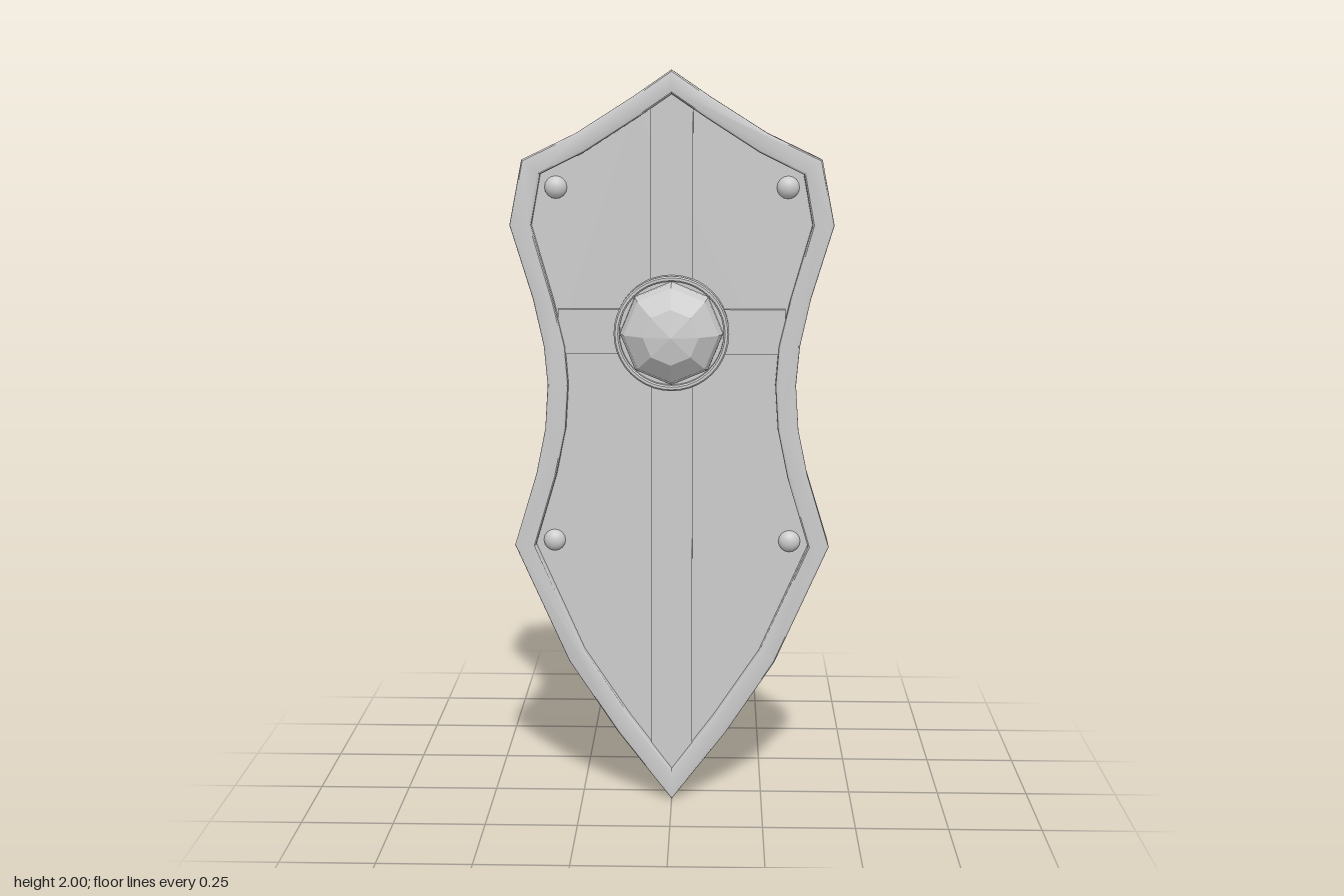
import * as THREE from 'three';
import { toCreasedNormals } from 'three/addons/utils/BufferGeometryUtils.js';

const V = (x, y) => new THREE.Vector2(x, y);

// Right half of the outer and inner edges, top to bottom
const OUTER = [[0, 2], [0.1, 1.932], [0.25, 1.838], [0.393, 1.77], [0.427, 1.6], [0.368, 1.405],
  [0.341, 1.28], [0.332, 1.175], [0.34, 1.055], [0.366, 0.93], [0.427, 0.732], [0.283, 0.403],
  [0.15, 0.198], [0, 0]];
const INNER = [[0, 1.938], [0.09, 1.877], [0.23, 1.788], [0.345, 1.732], [0.37, 1.6], [0.312, 1.395],
  [0.285, 1.28], [0.277, 1.175], [0.285, 1.055], [0.312, 0.925], [0.37, 0.732], [0.24, 0.433],
  [0.115, 0.243], [0, 0.088]];
const MIDDLE = OUTER.map(([x, y], i) => [(x + INNER[i][0]) / 2, (y + INNER[i][1]) / 2]);

// Mirror a half outline into a closed anticlockwise loop
function mirrored(half) {
  const left = half.filter(p => p[0] > 0).reverse().map(([x, y]) => V(-x, y));
  return [...half.map(([x, y]) => V(x, y)), ...left].reverse();
}

// Extrude a shape between two depths, with an optional bevel kept inside the outline
function slab(shape, z0, z1, bevel = 0) {
  const g = new THREE.ExtrudeGeometry(shape, {
    depth: z1 - z0 - 2 * bevel, bevelEnabled: bevel > 0, bevelSize: bevel,
    bevelThickness: bevel, bevelOffset: -bevel, bevelSegments: 3,
  });
  g.translate(0, 0, z0 + bevel);
  return toCreasedNormals(g, 0.42);
}

export function createModel() {
  const model = new THREE.Group();
  const smooth = new THREE.MeshStandardMaterial({ color: 0xcccccc });
  const faceted = new THREE.MeshStandardMaterial({ color: 0xcccccc, flatShading: true });
  const add = (name, geometry, material = smooth, parent = model) => {
    const mesh = new THREE.Mesh(geometry, material);
    mesh.name = name;
    parent.add(mesh);
    return mesh;
  };

  // Thick rim around a recessed panel
  const rim = new THREE.Shape(mirrored(OUTER));
  rim.holes.push(new THREE.Path(mirrored(INNER)));
  add('rim', slab(rim, -0.063, 0.068, 0.008));
  add('panel', slab(new THREE.Shape(mirrored(MIDDLE)), -0.043, 0.044));

  // Raised bands crossing behind the boss
  const upright = [[0, 1.965], [0.056, 1.93], [0.056, 0.13], [0, 0.05]];
  add('verticalBand', slab(new THREE.Shape(mirrored(upright)), 0.02, 0.053));
  const cross = [[0.302, 1.378], [0.302, 1.258]];
  add('crossBand', slab(new THREE.Shape(mirrored(cross)), 0.02, 0.06));

  // Central boss: round collar and faceted dome
  const boss = new THREE.Group();
  boss.name = 'boss';
  boss.position.set(0, 1.316, 0);
  boss.rotation.x = Math.PI / 2;
  model.add(boss);
  const collar = [[0.153, 0.03], [0.153, 0.084], [0.149, 0.088], [0.142, 0.088], [0.138, 0.084],
    [0.138, 0.068], [0, 0.068]].map(([r, z]) => V(r, z));
  add('bossCollar', toCreasedNormals(new THREE.LatheGeometry(collar, 40), 0.5), smooth, boss);
  const dome = [[0.138, 0.06], [0.136, 0.085], [0.125, 0.117], [0.073, 0.16], [0, 0.173]]
    .map(([r, z]) => V(r, z));
  add('bossDome', new THREE.LatheGeometry(dome, 8), faceted, boss);

  // Rivets near the four corners
  for (const [x, y] of [[0.305, 1.698], [0.32, 0.743]]) {
    for (const side of [-1, 1]) {
      const rivet = add('rivet', new THREE.SphereGeometry(0.03, 16, 6, 0, Math.PI * 2, 0, Math.PI / 2));
      rivet.rotation.x = Math.PI / 2;
      rivet.position.set(side * x, y, 0.043);
      rivet.scale.y = 0.8;
    }
  }

  // Two flat-sided grip handles on the back, each with a small foot at both ends
  const grip = new THREE.Shape();
  grip.moveTo(0.03, 1.388);
  grip.lineTo(0.145, 1.388);
  grip.quadraticCurveTo(0.175, 1.388, 0.175, 1.358);
  grip.lineTo(0.175, 0.97);
  grip.quadraticCurveTo(0.175, 0.94, 0.145, 0.94);
  grip.lineTo(0.03, 0.94);
  grip.lineTo(0.03, 0.966);
  grip.lineTo(0.138, 0.966);
  grip.quadraticCurveTo(0.15, 0.966, 0.15, 0.978);
  grip.lineTo(0.15, 1.35);
  grip.quadraticCurveTo(0.15, 1.362, 0.138, 1.362);
  grip.lineTo(0.03, 1.362);
  for (const side of [-1, 1]) {
    const handle = new THREE.Group();
    handle.name = 'handle';
    handle.position.x = side * 0.133;
    model.add(handle);
    add('grip', slab(grip, -0.0125, 0.0125, 0.004).rotateY(Math.PI / 2), smooth, handle);
    for (const y of [0.953, 1.375]) {
      add('foot', new THREE.BoxGeometry(0.034, 0.036, 0.02), smooth, handle).position.set(0, y, -0.042);
    }
  }
  return model;
}
